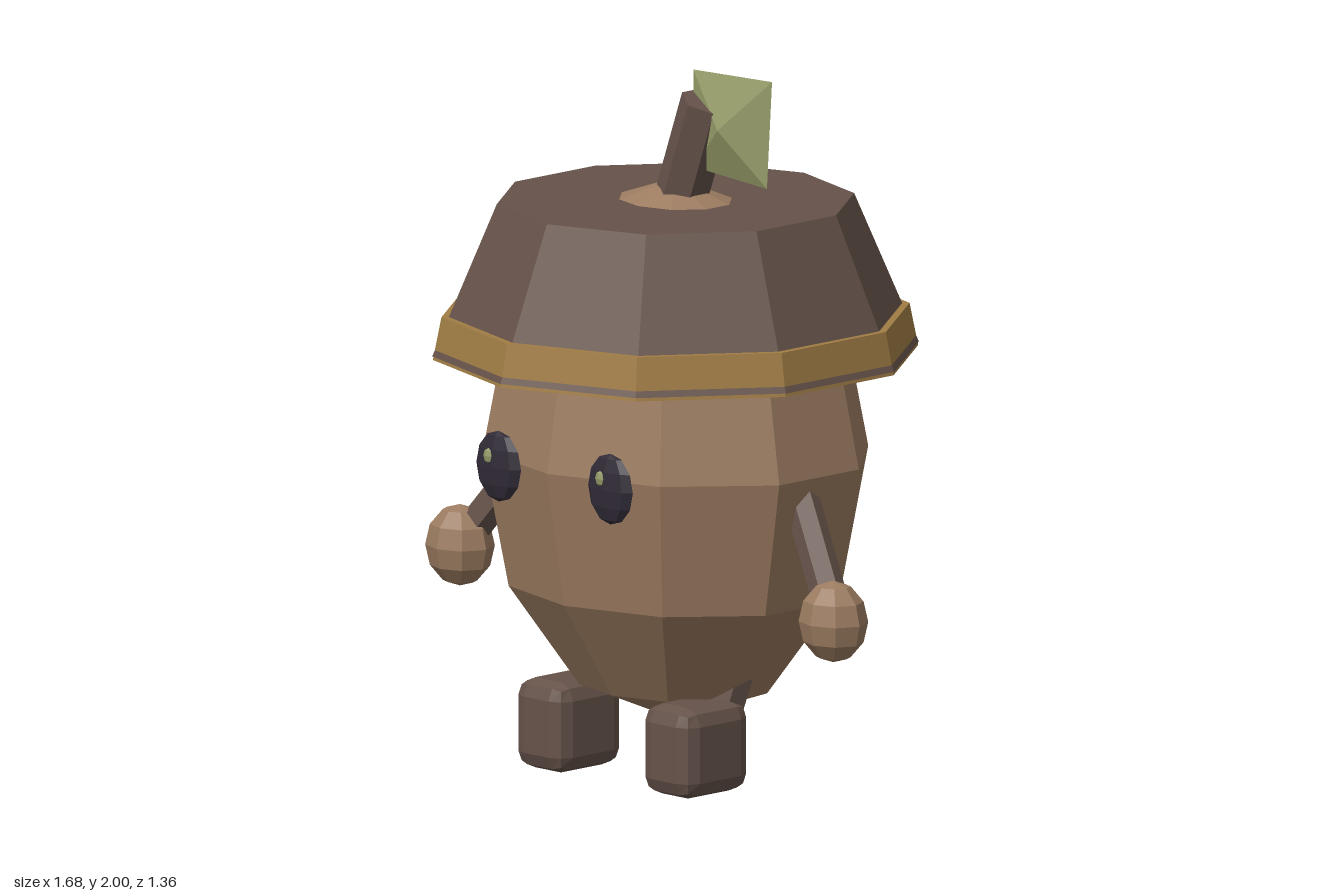
import * as THREE from 'three';
import { RoundedBoxGeometry } from 'three/addons/geometries/RoundedBoxGeometry.js';

const flat = (name, color) => {
  const m = new THREE.MeshStandardMaterial({ color, flatShading: true });
  m.name = name;
  return m;
};

export function createModel() {
  const model = new THREE.Group();
  model.name = 'acornCreature';

  const nut = flat('nutBrown', 0x9c7c61);
  const bark = flat('barkBrown', 0x66534a);
  const gold = flat('goldTrim', 0xa07c44);
  const dark = flat('eyeDark', 0x302a36);
  const green = flat('leafGreen', 0x969c69);

  const add = (name, geometry, material, x = 0, y = 0, z = 0) => {
    const mesh = new THREE.Mesh(geometry, material);
    mesh.name = name;
    mesh.position.set(x, y, z);
    model.add(mesh);
    return mesh;
  };

  // Low-poly ellipsoid with a vertex line facing the front
  const ellipsoid = (rx, ry, rz, sides, rings) =>
    new THREE.SphereGeometry(1, sides, rings).rotateY(Math.PI / 2).scale(rx, ry, rz);

  // Six-sided rod between two points
  const rod = (name, from, to, radius) => {
    const a = new THREE.Vector3(...from);
    const b = new THREE.Vector3(...to);
    const dir = b.clone().sub(a);
    const mesh = add(name, new THREE.CylinderGeometry(radius, radius, dir.length(), 6), bark);
    mesh.position.copy(a).add(b).multiplyScalar(0.5);
    mesh.quaternion.setFromUnitVectors(new THREE.Vector3(0, 1, 0), dir.normalize());
    return mesh;
  };

  // Nut body; its tip peeks through the top of the cap
  add('body', ellipsoid(0.594, 0.765, 0.5, 10, 6), nut, 0, 0.91, 0);

  // Cap and its gold band, with the cap edge showing as a thin line in the band
  add('cap', new THREE.CylinderGeometry(0.5, 0.681, 0.425, 10), bark, 0, 1.4025, 0);
  add('capBand', new THREE.CylinderGeometry(0.655, 0.679, 0.12, 10), gold, 0, 1.24, 0);

  // Stem
  rod('stem', [-0.005, 1.55, 0], [0.125, 1.908, 0], 0.075);

  // Leaf: shallow four-sided pyramid with a flat back
  const corners = [[0.07, 1.99], [0.075, 1.715], [0.36, 1.695], [0.38, 2.0]];
  const points = [];
  corners.forEach((c, i) => {
    const n = corners[(i + 1) % 4];
    points.push(...c, 0, ...n, 0, 0.215, 1.845, 0.05);
    points.push(...n, 0, ...c, 0, 0.215, 1.845, 0);
  });
  const leaf = new THREE.BufferGeometry();
  leaf.setAttribute('position', new THREE.Float32BufferAttribute(points, 3));
  leaf.computeVertexNormals();
  add('leaf', leaf, green);

  for (const [side, s] of [['left', 1], ['right', -1]]) {
    // Eye with a small glint
    add(`${side}Eye`, ellipsoid(0.088, 0.1, 0.028, 8, 6), dark, s * 0.22, 0.895, 0.47);
    add(`${side}EyeGlint`, ellipsoid(0.018, 0.022, 0.01, 6, 4), green, s * 0.22 - 0.018, 0.925, 0.492);

    // Arm and hand
    rod(`${side}Arm`, [s * 0.5, 0.87, 0.015], [s * 0.725, 0.565, 0.1], 0.05);
    add(`${side}Hand`, ellipsoid(0.103, 0.115, 0.09, 8, 6), nut, s * 0.735, 0.545, 0.112);

    // Leg and chunky bevelled foot
    rod(`${side}Leg`, [s * 0.28, 0.33, 0.04], [s * 0.245, 0.13, 0.09], 0.055);
    add(`${side}Foot`, new RoundedBoxGeometry(0.195, 0.255, 0.255, 1, 0.048), bark, s * 0.25, 0.1275, 0.168);
  }

  return model;
}
